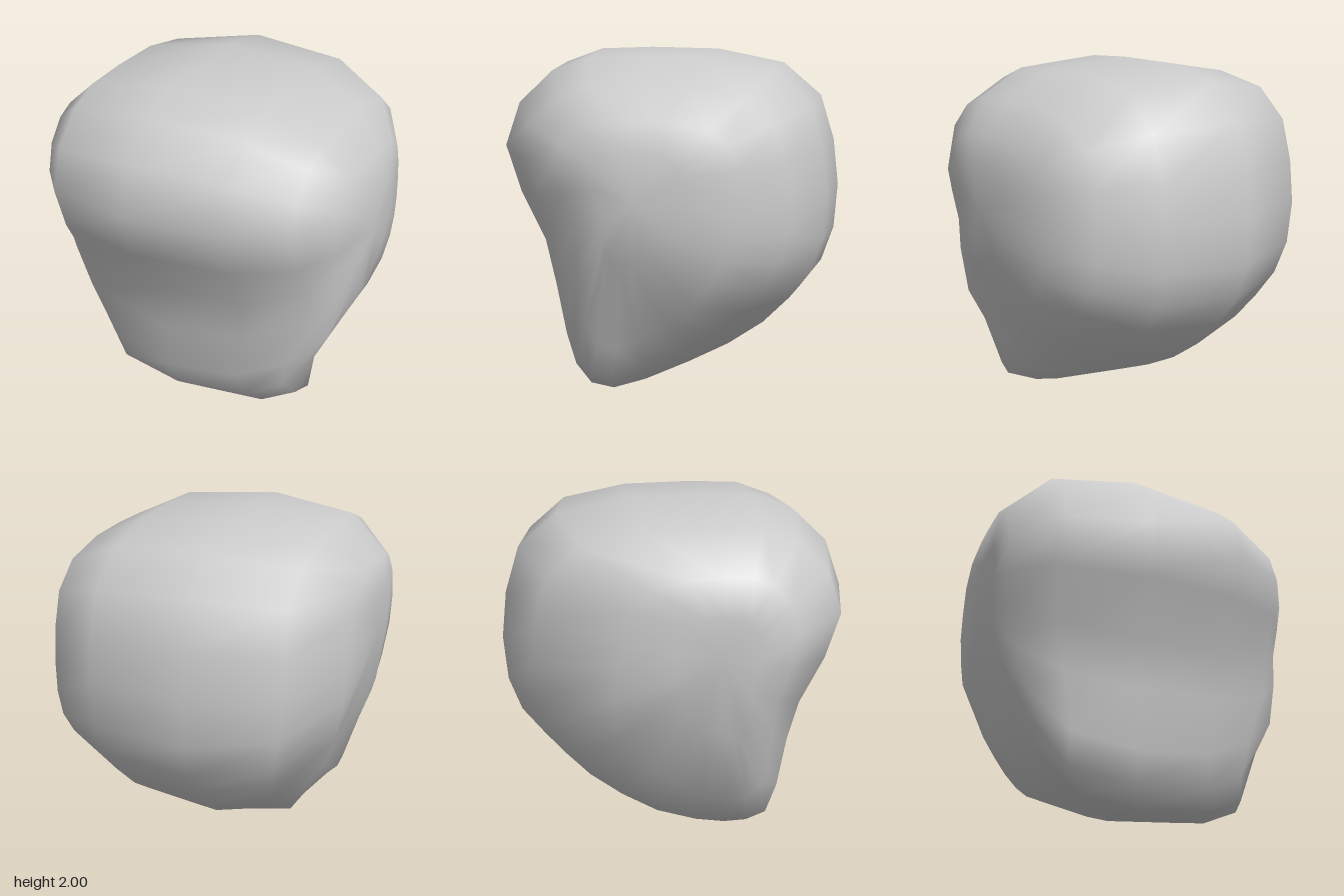
import * as THREE from 'three';

// Side profile at the middle of the stone, as [z, y], from the front bulge over the top and round the back
const PROFILE = [
  [0.97, 1.46], [0.88, 1.72], [0.68, 1.91], [0.46, 1.99], [0.15, 2], [-0.25, 1.99],
  [-0.64, 1.91], [-0.86, 1.72], [-0.94, 1.46], [-0.97, 1.19], [-0.95, 0.93], [-0.88, 0.73],
  [-0.75, 0.56], [-0.59, 0.4], [-0.38, 0.26], [-0.15, 0.15], [0.11, 0.05], [0.3, 0],
  [0.44, 0.02], [0.55, 0.11], [0.62, 0.28], [0.67, 0.6], [0.73, 0.88], [0.88, 1.18],
];

// Sections across the width: x, z centre of scaling, z and y scale above, z and y scale at the foot
const SECTIONS = [
  [-0.9, 0.25, 0.24, 0.3, 0.3, 0.38],
  [-0.88, 0.27, 0.49, 0.61, 0.73, 0.74],
  [-0.66, 0.28, 0.86, 0.89, 0.92, 0.965],
  [-0.17, 0, 1, 1, 1, 1],
  [0.38, 0, 0.94, 0.935, 0.97, 0.965],
  [0.7, 0.05, 0.76, 0.72, 0.87, 0.89],
  [0.84, 0.07, 0.51, 0.46, 0.7, 0.74],
  [0.9, 0.1, 0.26, 0.24, 0.3, 0.33],
];
const CENTRE_Y = 1.3;

// Width factor by height: [y, -x side, +x side]
const TAPER = [
  [0, 0.4, 1.1], [0.05, 0.58, 1.06], [0.18, 0.76, 0.82], [0.34, 0.76, 0.76],
  [0.5, 0.79, 0.85], [0.7, 0.87, 0.97], [0.9, 0.96, 1], [1.2, 1, 1],
];

function taper(y, side) {
  for (let i = 1; i < TAPER.length; i++) {
    const a = TAPER[i - 1], b = TAPER[i];
    if (y <= b[0]) return THREE.MathUtils.mapLinear(y, a[0], b[0], a[side], b[side]);
  }
  return 1;
}

function buildBody() {
  const n = PROFILE.length, last = SECTIONS.length - 1;
  const positions = [], index = [];

  // Scaled loops, blending to the fuller foot scale and narrowed towards the bottom
  for (const [x, cz, sz, sy, footZ, footY] of SECTIONS) {
    for (const [pz, py] of PROFILE) {
      const t = Math.max(0, 1 - py / CENTRE_Y) ** 2;
      const y = CENTRE_Y + (py - CENTRE_Y) * THREE.MathUtils.lerp(sy, footY, t);
      const z = cz + (pz - cz) * THREE.MathUtils.lerp(sz, footZ, t);
      positions.push(x * taper(y, x < 0 ? 1 : 2), y, z);
    }
  }

  // Skin between neighbouring loops
  for (let i = 0; i < last; i++) {
    for (let j = 0; j < n; j++) {
      const k = (j + 1) % n;
      const a = i * n + j, b = a + n, c = (i + 1) * n + k, d = i * n + k;
      index.push(a, b, c, a, c, d);
    }
  }

  // Rounded side caps
  const capA = positions.length / 3, capB = capA + 1;
  positions.push(-0.908, 1.3, 0.2, 0.906, 1.2, 0.08);
  for (let j = 0; j < n; j++) {
    const k = (j + 1) % n;
    index.push(capA, j, k, capB, last * n + k, last * n + j);
  }

  const geometry = new THREE.BufferGeometry();
  geometry.setAttribute('position', new THREE.Float32BufferAttribute(positions, 3));
  geometry.setIndex(index);
  geometry.computeVertexNormals();
  return geometry;
}

export function createModel() {
  const group = new THREE.Group();
  group.name = 'roundedStone';
  const body = new THREE.Mesh(buildBody(), new THREE.MeshStandardMaterial({ color: 0xcccccc }));
  body.name = 'stoneBody';
  group.add(body);
  return group;
}
